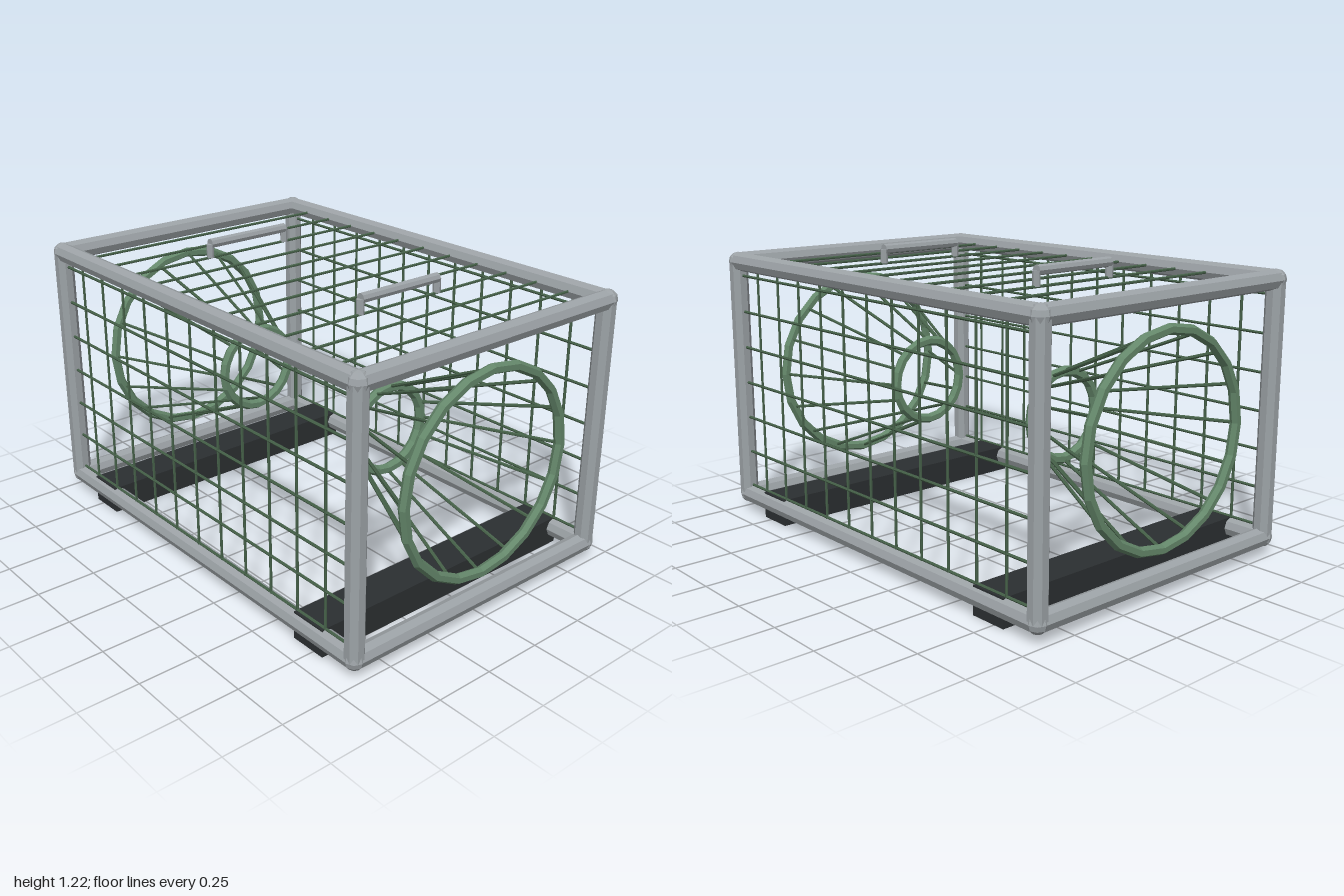
import * as THREE from 'three';

const mat = (color) => new THREE.MeshStandardMaterial({ color, flatShading: true });
const V = (x, y, z) => new THREE.Vector3(x, y, z);
const UP = V(0, 1, 0);

export function createModel() {
  const model = new THREE.Group();
  const steel = mat(0x9ca2a6), green = mat(0x64876a), wire = mat(0x456048), rubber = mat(0x2b2f31);

  const add = (parent, name, geometry, material) => {
    const mesh = new THREE.Mesh(geometry, material);
    mesh.name = name;
    parent.add(mesh);
    return mesh;
  };
  const group = (name) => {
    const g = new THREE.Group();
    g.name = name;
    model.add(g);
    return g;
  };
  // Straight rod between two points
  const rod = (parent, name, a, b, r, sides, material) => {
    const mesh = add(parent, name, new THREE.CylinderGeometry(r, r, a.distanceTo(b), sides), material);
    mesh.position.copy(a).add(b).multiplyScalar(0.5);
    mesh.quaternion.setFromUnitVectors(UP, b.clone().sub(a).normalize());
    return mesh;
  };

  const X = 0.958, Z = 0.64, Y0 = 0.076, Y1 = 1.14, R = 0.041;

  // Tubular frame with ball corners
  const frame = group('frame');
  for (const y of [Y0, Y1]) {
    for (const s of [-1, 1]) {
      rod(frame, 'longRail', V(-X, y, s * Z), V(X, y, s * Z), R, 8, steel);
      rod(frame, 'endRail', V(s * X, y, -Z), V(s * X, y, Z), R, 8, steel);
      for (const t of [-1, 1]) {
        add(frame, 'corner', new THREE.SphereGeometry(0.043, 8, 6), steel).position.set(s * X, y, t * Z);
      }
    }
  }
  for (const s of [-1, 1]) for (const t of [-1, 1]) {
    const post = rod(frame, 'post', V(s * X, Y0, t * Z), V(s * X, Y1, t * Z), 0.04, 8, steel);
    post.rotation.y = Math.PI / 8;
  }

  // Wire mesh on front and back, cross wires over the top
  const mesh = group('wireMesh');
  for (let i = -5; i <= 5; i++) {
    const x = i * 0.16;
    for (const s of [-1, 1]) rod(mesh, 'uprightWire', V(x, Y0, s * Z), V(x, Y1, s * Z), 0.006, 6, wire);
    rod(mesh, 'topWire', V(x, Y1, -Z), V(x, Y1, Z), 0.006, 6, wire);
  }
  for (let i = -3; i <= 3; i++) {
    const y = 0.6 + i * 0.16;
    for (const s of [-1, 1]) rod(mesh, 'levelWire', V(-X, y, s * Z), V(X, y, s * Z), 0.006, 6, wire);
  }

  for (const s of [-1, 1]) {
    // Entrance funnel: wide outer ring, narrow inner ring, sixteen spokes
    const funnel = group(s > 0 ? 'leftFunnel' : 'rightFunnel');
    for (const [name, r, x, sides] of [['outerRing', 0.42, 0.96, 20], ['innerRing', 0.18, 0.432, 20]]) {
      const ring = add(funnel, name, new THREE.TorusGeometry(r, 0.022, 6, sides), green);
      ring.position.set(s * x, 0.6, 0);
      ring.rotation.y = Math.PI / 2;
    }
    for (let i = 0; i < 16; i++) {
      const a = (i / 16) * Math.PI * 2, c = Math.cos(a), d = Math.sin(a);
      rod(funnel, 'spoke', V(s * 0.96, 0.6 + 0.42 * d, 0.42 * c),
        V(s * 0.43, 0.6 + 0.18 * d, 0.18 * c), 0.007, 6, wire);
    }

    // Ballast runner under each end
    add(model, 'runner', new THREE.BoxGeometry(0.163, 0.118, 1.31), rubber).position.set(s * 0.718, 0.059, 0);

    // Carrying handle on two short legs
    const handle = group('handle');
    rod(handle, 'grip', V(s * 0.478, 1.202, -0.2), V(s * 0.478, 1.202, 0.2), 0.021, 8, steel);
    for (const t of [-1, 1]) {
      rod(handle, 'handleLeg', V(s * 0.478, 1.14, t * 0.2), V(s * 0.478, 1.2, t * 0.2), 0.016, 8, steel);
    }
  }

  return model;
}
